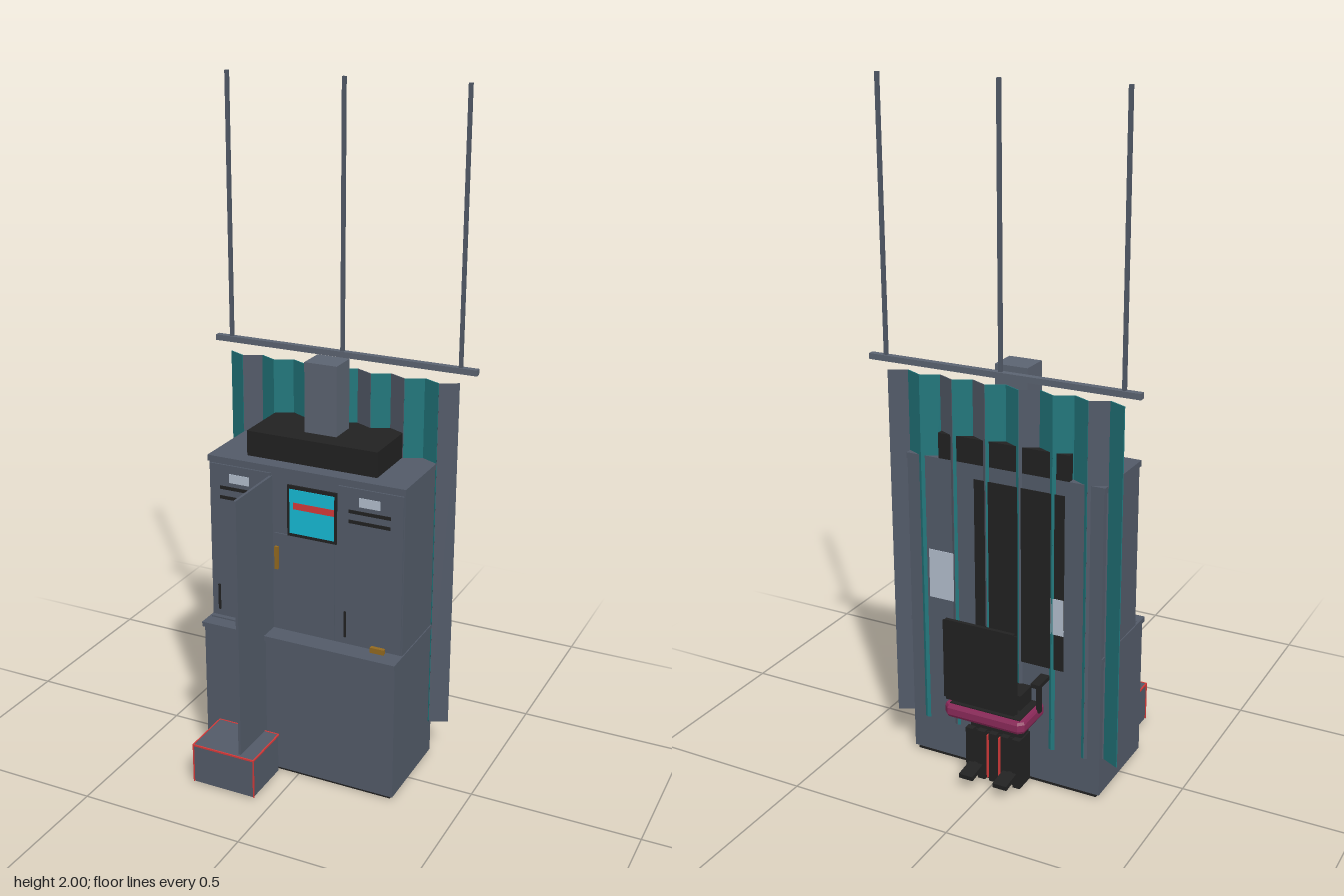
import * as THREE from 'three';

const mat = (name, color) => {
  const m = new THREE.MeshStandardMaterial({ color });
  m.name = name;
  return m;
};

export function createModel() {
  const root = new THREE.Group();
  root.name = 'lockerStation';
  const grey = mat('slate grey', 0x535b69);
  const lightGrey = mat('light slate', 0x5c6472);
  const teal = mat('teal cloth', 0x22777c);
  const black = mat('black', 0x222222);
  const cyan = mat('screen cyan', 0x16bcd6);
  const red = mat('signal red', 0xd63a3a);
  const amber = mat('amber', 0x946a20);
  const plum = mat('plum', 0x8c2a5a);
  const pale = mat('pale label', 0xb4bfce);

  const group = (name) => {
    const g = new THREE.Group();
    g.name = name;
    root.add(g);
    return g;
  };
  // Box given by its min and max on each axis
  const box = (parent, name, m, x0, x1, y0, y1, z0, z1) => {
    const mesh = new THREE.Mesh(new THREE.BoxGeometry(x1 - x0, y1 - y0, z1 - z0), m);
    mesh.position.set((x0 + x1) / 2, (y0 + y1) / 2, (z0 + z1) / 2);
    mesh.name = name;
    parent.add(mesh);
    return mesh;
  };

  // Cabinet body
  const cab = group('cabinet');
  box(cab, 'plinth', black, -0.295, 0.295, 0, 0.01, -0.155, 0.125);
  box(cab, 'lowerCabinet', grey, -0.305, 0.305, 0.01, 0.43, -0.158, 0.132);
  box(cab, 'counter', grey, -0.308, 0.308, 0.43, 0.445, -0.158, 0.143);
  box(cab, 'upperCabinet', grey, -0.305, 0.305, 0.445, 0.935, -0.158, 0.08);
  box(cab, 'cornice', grey, -0.308, 0.308, 0.935, 0.953, -0.158, 0.086);
  box(cab, 'hood', black, -0.203, 0.203, 0.953, 1.028, -0.158, 0.04);
  box(cab, 'flue', lightGrey, -0.05, 0.05, 1.028, 1.235, -0.105, -0.02);

  // Two closed locker doors with label, vents and handle
  for (const [x0, hx] of [[-0.302, -0.278], [0.106, 0.13]]) {
    const d = group('lockerDoor');
    box(d, 'doorPanel', grey, x0, x0 + 0.196, 0.45, 0.93, 0.08, 0.085);
    const cx = x0 + 0.096;
    box(d, 'label', pale, cx - 0.032, cx + 0.032, 0.878, 0.905, 0.085, 0.087);
    for (const y of [0.83, 0.86])
      box(d, 'vent', black, cx - 0.063, cx + 0.063, y - 0.005, y + 0.005, 0.085, 0.087);
    box(d, 'handle', black, hx - 0.003, hx + 0.003, 0.47, 0.55, 0.085, 0.09);
  }

  // Centre bay with door and display
  const bay = group('centreBay');
  box(bay, 'centreDoor', grey, -0.095, 0.095, 0.45, 0.75, 0.08, 0.084);
  box(bay, 'centreHandle', amber, -0.092, -0.081, 0.64, 0.71, 0.084, 0.092);
  box(bay, 'displayFrame', black, -0.053, 0.101, 0.75, 0.905, 0.08, 0.085);
  box(bay, 'display', cyan, -0.045, 0.094, 0.76, 0.894, 0.085, 0.087);
  box(bay, 'displayBand', red, -0.033, 0.094, 0.835, 0.855, 0.087, 0.088);
  box(bay, 'amberPad', amber, 0.214, 0.256, 0.445, 0.461, 0.088, 0.1);
  box(bay, 'counterTray', grey, -0.3, -0.175, 0.445, 0.449, 0.085, 0.1);

  // Door swung open, and the trimmed step box below it
  box(root, 'openDoor', grey, -0.11, -0.102, 0.05, 0.922, 0.08, 0.292);
  const step = group('stepBox');
  box(step, 'stepBody', grey, -0.253, -0.057, 0.008, 0.131, 0.147, 0.303);
  for (const z of [0.146, 0.304])
    box(step, 'trimAcross', red, -0.255, -0.055, 0.127, 0.132, z - 0.002, z + 0.002);
  for (const x of [-0.254, -0.056]) {
    box(step, 'trimAlong', red, x - 0.002, x + 0.002, 0.127, 0.132, 0.146, 0.304);
    box(step, 'trimUpright', red, x - 0.002, x + 0.002, 0.008, 0.13, 0.302, 0.305);
  }

  // Rear panel and notices
  const rear = group('rearPanel');
  box(rear, 'rearBlackPanel', black, -0.19, 0.09, 0.38, 0.91, -0.16, -0.156);
  box(rear, 'notice', pale, 0.16, 0.24, 0.52, 0.67, -0.16, -0.156);
  box(rear, 'smallNotice', pale, -0.19, -0.15, 0.49, 0.6, -0.1615, -0.158);

  // Pleated curtain, one slat per fold
  const curtain = group('curtain');
  const w = 0.72 / 14;
  [...'TGTTTGTTGTGTTG'].forEach((c, i) => {
    const m = new THREE.Mesh(
      new THREE.BoxGeometry(Math.hypot(w, 0.026), 1.07, 0.003), c === 'T' ? teal : grey);
    m.position.set(-0.36 + w * (i + 0.5), 0.655, -0.148);
    m.rotation.y = (i % 2 ? 1 : -1) * Math.atan2(0.026, w);
    m.name = 'curtainFold';
    curtain.add(m);
  });

  // Hanging rail
  const rail = group('curtainRail');
  box(rail, 'rail', lightGrey, -0.41, 0.41, 1.218, 1.235, -0.175, -0.156);
  for (const x of [-0.36, 0, 0.36])
    box(rail, 'hanger', grey, x - 0.005, x + 0.005, 1.235, 2, -0.17, -0.16);

  // Seat at the rear: tray with chamfered corners
  const seat = group('seat');
  const tray = new THREE.Shape();
  [[-0.128, 0.15], [-0.128, 0.275], [-0.112, 0.29], [0.112, 0.29], [0.128, 0.275], [0.128, 0.15]]
    .forEach(([x, y], i) => (i ? tray.lineTo(x, y) : tray.moveTo(x, y)));
  const trayGeo = new THREE.ExtrudeGeometry(tray, {
    depth: 0.02, bevelEnabled: true, bevelThickness: 0.008, bevelSize: 0.004, bevelOffset: -0.004, bevelSegments: 1 });
  const trayMesh = new THREE.Mesh(trayGeo, plum);
  trayMesh.rotation.x = -Math.PI / 2;
  trayMesh.position.y = 0.233;
  trayMesh.name = 'seatTray';
  seat.add(trayMesh);
  box(seat, 'seatPad', black, -0.112, 0.112, 0.255, 0.264, -0.275, -0.15);
  box(seat, 'cushion', black, -0.09, 0.09, 0.264, 0.31, -0.228, -0.15);
  box(seat, 'seatSupport', black, -0.08, 0.08, 0.16, 0.226, -0.212, -0.15);

  // Backrest and its strut
  box(seat, 'backrest', black, -0.108, 0.108, 0.29, 0.54, -0.303, -0.292);
  for (const s of [-1, 1])
    box(seat, 'backrestEdge', black, s * 0.111 - 0.005, s * 0.111 + 0.005, 0.295, 0.535, -0.3, -0.295);
  const strut = box(seat, 'backStrut', grey, -0.008, 0.008, 0.255, 0.365, -0.272, -0.262);
  strut.rotation.x = -0.55;

  // Armrests
  for (const s of [-1, 1]) {
    box(seat, 'armrest', black, s * 0.134 - 0.014, s * 0.134 + 0.014, 0.345, 0.357, -0.225, -0.158);
    box(seat, 'armPost', black, s * 0.128 - 0.006, s * 0.128 + 0.006, 0.25, 0.345, -0.195, -0.18);
  }

  // Slatted pedestal and feet
  box(seat, 'pedestal', black, -0.085, 0.085, 0.005, 0.16, -0.215, -0.15);
  for (let i = -2; i <= 2; i++)
    box(seat, 'pedestalSlat', black, i * 0.038 - 0.012, i * 0.038 + 0.012, 0.008, 0.165, -0.23, -0.21);
  for (const x of [-0.019, 0.019])
    box(seat, 'pedestalStripe', red, x - 0.002, x + 0.002, 0.015, 0.155, -0.228, -0.21);
  for (const s of [-1, 1]) {
    const foot = box(seat, 'footPedal', black, s * 0.055 - 0.022, s * 0.055 + 0.022, 0.038, 0.052, -0.292, -0.225);
    foot.rotation.x = -0.12;
  }
  return root;
}
